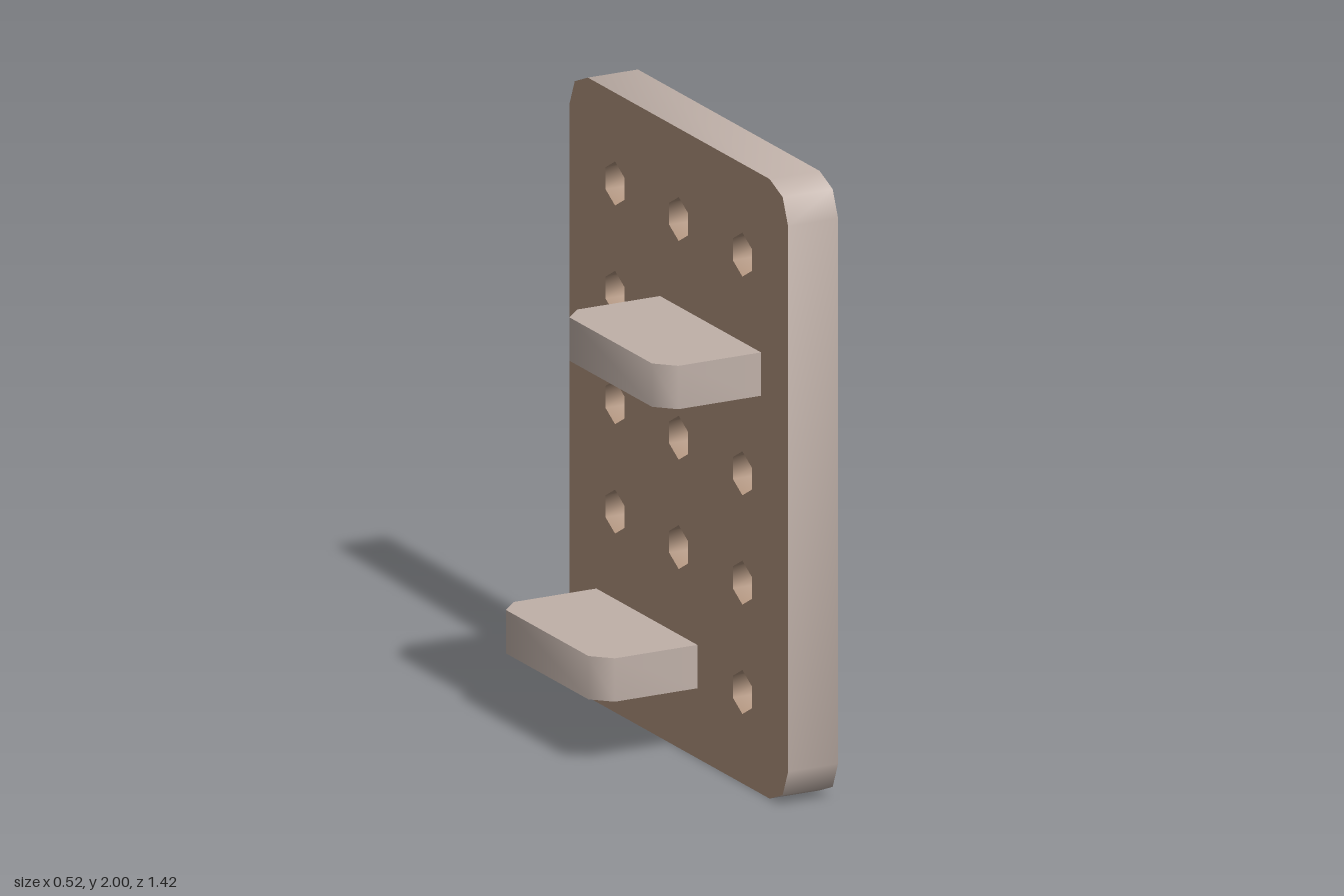
import * as THREE from 'three';
import { toCreasedNormals } from 'three/addons/utils/BufferGeometryUtils.js';

const CREASE = 1.1;
const FACE_X = 0.087; // panel side that carries the shelves
const OUTER_X = 0.262;

const woodFace = new THREE.MeshStandardMaterial({ color: 0xb0937d });
woodFace.name = 'brown wood face';
const paleEdge = new THREE.MeshStandardMaterial({ color: 0xbfb0a8 });
paleEdge.name = 'pale grey wood';

function polygon(points, Type = THREE.Shape) {
  return new Type(points.map(([x, y]) => new THREE.Vector2(x, y)));
}

// Upright panel with two-segment rounded corners and a grid of hexagonal holes
function createPanel() {
  const radius = 0.12;
  const outline = [];
  const corners = [[0.588, 1.88], [-0.588, 1.88], [-0.588, 0.12], [0.588, 0.12]];
  corners.forEach(([cx, cy], i) => {
    for (let k = 0; k < 3; k++) {
      const a = (i + k / 2) * Math.PI / 2;
      outline.push([cx + radius * Math.cos(a), cy + radius * Math.sin(a)]);
    }
  });
  const shape = polygon(outline);

  for (let row = 0; row < 5; row++) {
    for (let col = -1; col <= 1; col++) {
      const hex = [];
      for (let k = 0; k < 6; k++) {
        const a = Math.PI / 2 - k * Math.PI / 3;
        hex.push([col * 0.412 + 0.071 * Math.cos(a), 0.295 + row * 0.353 + 0.071 * Math.sin(a)]);
      }
      shape.holes.push(polygon(hex, THREE.Path));
    }
  }

  let geometry = new THREE.ExtrudeGeometry(shape, { depth: OUTER_X - FACE_X, bevelEnabled: false });
  geometry.rotateY(Math.PI / 2).translate(FACE_X, 0, 0);
  const [caps, walls] = geometry.groups.map((g) => ({ ...g }));
  geometry = toCreasedNormals(geometry, CREASE);

  // Faces and hole walls are brown, the outer rim is grey
  const rim = outline.length * 6;
  geometry.clearGroups();
  geometry.addGroup(caps.start, caps.count, 0);
  geometry.addGroup(walls.start, rim, 1);
  geometry.addGroup(walls.start + rim, walls.count - rim, 0);

  const panel = new THREE.Mesh(geometry, [woodFace, paleEdge]);
  panel.name = 'perforatedPanel';
  return panel;
}

// Small shelf with clipped outer corners
function createShelf(name, y, z) {
  const half = 0.327, cut = 0.06, end = -0.262;
  const shape = polygon([
    [FACE_X, -half], [FACE_X, half], [end + cut, half],
    [end, half - cut], [end, -half + cut], [end + cut, -half],
  ]);
  const geometry = new THREE.ExtrudeGeometry(shape, { depth: 0.14, bevelEnabled: false });
  geometry.rotateX(-Math.PI / 2);
  const shelf = new THREE.Mesh(toCreasedNormals(geometry, CREASE), paleEdge);
  shelf.position.set(0, y, z);
  shelf.name = name;
  return shelf;
}

export function createModel() {
  const group = new THREE.Group();
  group.name = 'pegboardWithShelves';
  group.add(
    createPanel(),
    createShelf('upperShelf', 1.285, 0.206),
    createShelf('lowerShelf', 0.226, -0.206),
  );
  return group;
}
